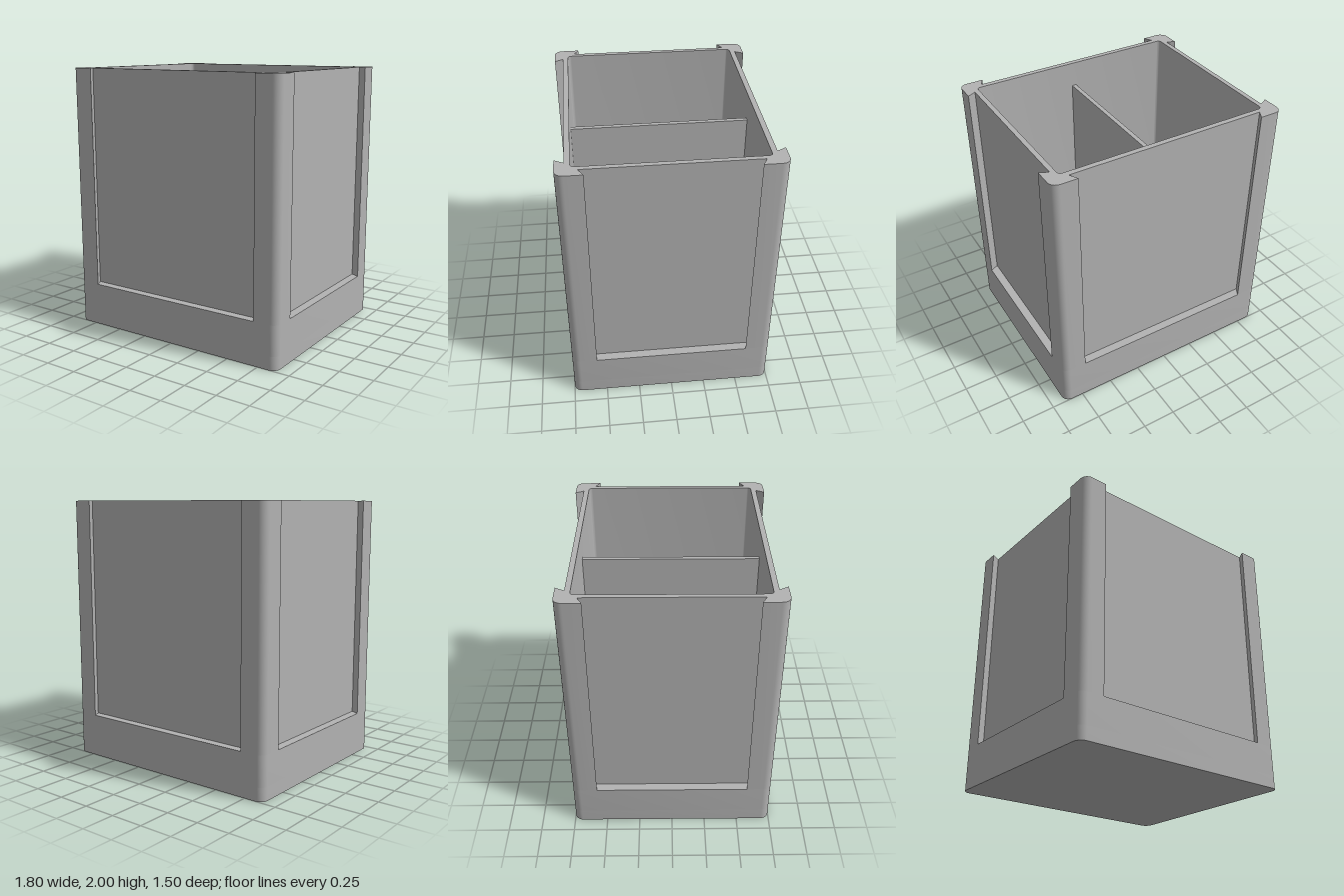
import * as THREE from 'three';
import { toCreasedNormals } from 'three/addons/utils/BufferGeometryUtils.js';

const W = 0.9, D = 0.75;             // outer half sizes
const FLOOR = 0.1, LEDGE = 0.325, TOP = 2;

// Points of a rounded corner in the +x +y quadrant, counter-clockwise
function corner(w, d, r, steps = 8) {
  return Array.from({ length: steps + 1 }, (_, i) => {
    const a = (i / steps) * Math.PI / 2;
    return new THREE.Vector2(w - r + r * Math.cos(a), d - r + r * Math.sin(a));
  });
}

// Mirror one quadrant into a full closed outline
function mirrorQuadrant(points) {
  const flip = (sx, sy) => points.map(p => new THREE.Vector2(p.x * sx, p.y * sy));
  return [...points, ...flip(-1, 1).reverse(), ...flip(-1, -1), ...flip(1, -1).reverse()];
}

export function createModel() {
  const group = new THREE.Group();
  group.name = 'dividedBox';
  const grey = new THREE.MeshStandardMaterial({ color: 0xb2b2b2 });
  grey.name = 'grey';

  const add = (name, geometry) => {
    const mesh = new THREE.Mesh(geometry, grey);
    mesh.name = name;
    group.add(mesh);
    return mesh;
  };

  // Upright prism from y0 to y1
  const prism = (name, outline, hole, y0, y1) => {
    const shape = new THREE.Shape(outline);
    if (hole) shape.holes.push(new THREE.Path(hole));
    const geo = new THREE.ExtrudeGeometry(shape, { depth: y1 - y0, bevelEnabled: false });
    geo.rotateX(-Math.PI / 2).translate(0, y0, 0);
    return add(name, toCreasedNormals(geo, 0.4));
  };

  const outer = mirrorQuadrant(corner(W, D, 0.06));
  const cavity = mirrorQuadrant(corner(0.8, 0.648, 0.027));

  // Outline with a dovetail channel on each of the four sides
  const slotted = mirrorQuadrant([
    new THREE.Vector2(0.836, 0.6), new THREE.Vector2(W, 0.565),
    ...corner(W, D, 0.06),
    new THREE.Vector2(0.715, D), new THREE.Vector2(0.75, 0.687),
  ]);

  prism('floor', outer, null, 0, FLOOR);
  prism('lowerWall', outer, cavity, FLOOR, LEDGE);
  prism('slottedWall', slotted, cavity, LEDGE, TOP);

  // Central divider, slightly lower than the rim
  const dividerTop = 1.81;
  add('divider', new THREE.BoxGeometry(0.034, dividerTop - FLOOR, 1.296))
    .position.y = (dividerTop + FLOOR) / 2;

  return group;
}
